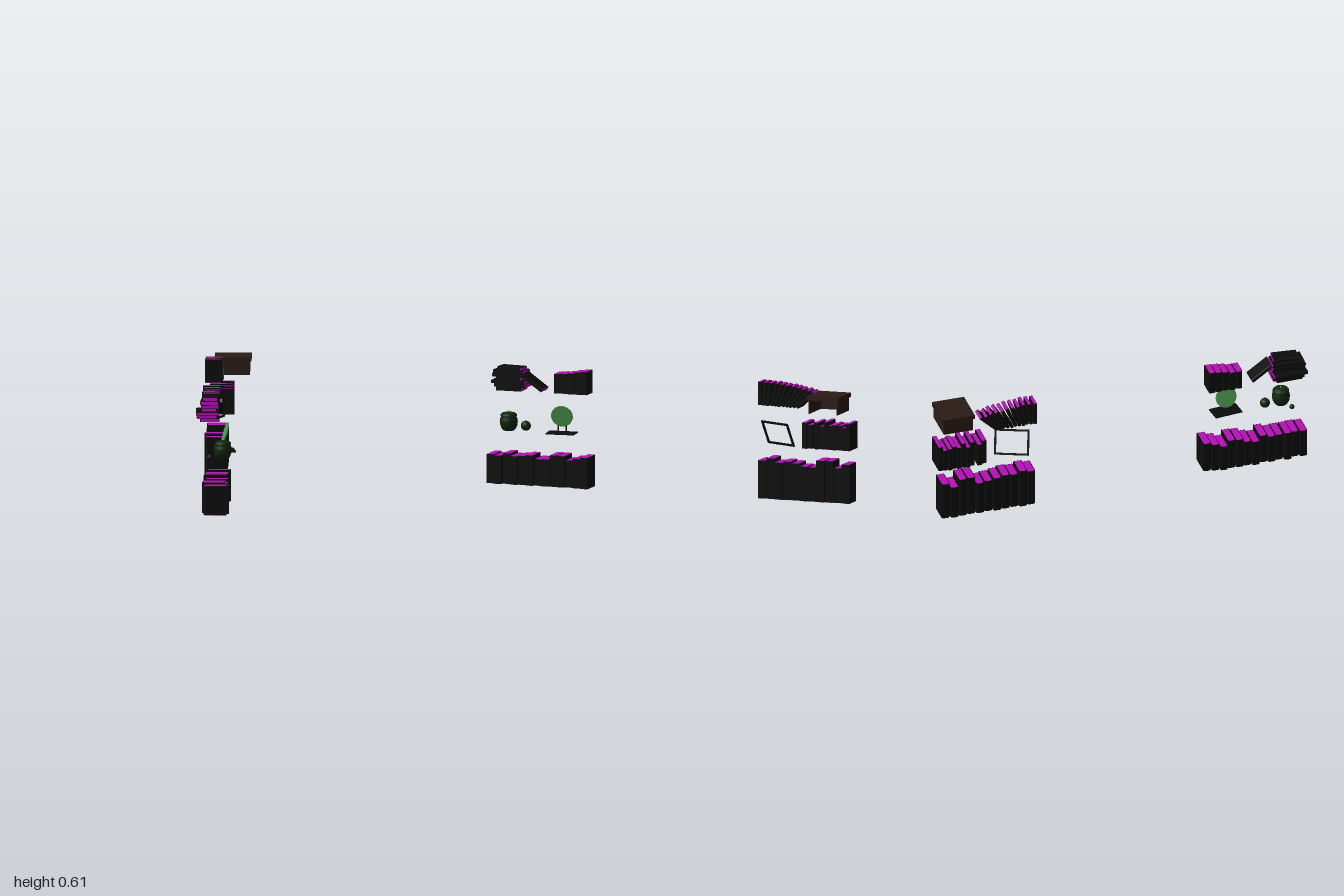
import * as THREE from 'three';

const paint = (color) => new THREE.MeshStandardMaterial({ color });
const black = paint(0x0c0c0c), purple = paint(0xb80fb8), brown = paint(0x2a1b15);
const darkGreen = paint(0x10260f), lightGreen = paint(0x519d52), bright = paint(0x2fc02f);
brown.side = THREE.DoubleSide;

function mesh(name, geometry, material, x = 0, y = 0, z = 0) {
  const m = new THREE.Mesh(geometry, material);
  m.name = name;
  m.position.set(x, y, z);
  return m;
}
const box = (name, w, h, d, mat, x, y, z) => mesh(name, new THREE.BoxGeometry(w, h, d), mat, x, y, z);

function group(name, ...children) {
  const g = new THREE.Group();
  g.name = name;
  if (children.length) g.add(...children);
  return g;
}

// Prism standing on y = 0: depth w along x with a rounded back at -x, thickness t along z
function bookPrism(w, h, t) {
  const r = t * 0.3, s = new THREE.Shape();
  s.moveTo(w / 2, -t / 2);
  s.lineTo(w / 2, t / 2);
  s.lineTo(-w / 2 + r, t / 2);
  s.quadraticCurveTo(-w / 2, t / 2, -w / 2, t / 2 - r);
  s.lineTo(-w / 2, -t / 2 + r);
  s.quadraticCurveTo(-w / 2, -t / 2, -w / 2 + r, -t / 2);
  return new THREE.ExtrudeGeometry(s, { depth: h, bevelEnabled: false, curveSegments: 3 }).rotateX(-Math.PI / 2);
}

// Dark cover with the page block showing at both ends
function book(w, h, t) {
  return group('book',
    mesh('cover', bookPrism(w, h - 0.002, t), black, 0, 0.001, 0),
    mesh('pages', bookPrism(w - 0.006, h, t * 0.84), purple));
}

// Upright books from z0 towards -z; each entry is [height, x shift]
function bookRow(name, z0, y, step, x, w, list) {
  const row = group(name);
  list.forEach(([h, dx], i) => {
    const b = book(w, h, step * 0.95);
    b.position.set(x + dx, y, z0 - step * (i + 0.5));
    row.add(b);
  });
  return row;
}

export function createModel() {
  const model = group('shelfItems');

  // Upright rows
  model.add(
    bookRow('lowerFrontBooks', 1, 0.002, 0.0432, -0.02, 0.12, [
      [0.153, 0], [0.15, 0.01], [0.16, -0.01], [0.15, 0.005], [0.153, -0.005], [0.16, 0.005], [0.14, -0.01],
      [0.143, 0], [0.165, -0.005], [0.165, 0], [0.143, -0.01], [0.155, 0], [0.165, 0.008]]),
    bookRow('lowerBackBooks', -0.48, 0.002, 0.0462, -0.056, 0.108, [
      [0.2, 0], [0.213, -0.005], [0.195, 0.004], [0.202, 0], [0.195, -0.004], [0.182, 0.004], [0.18, -0.002],
      [0.218, 0.004], [0.218, 0], [0.182, -0.005], [0.205, 0.002]]),
    bookRow('upperFrontBooks', 0.645, 0.485, 0.0365, -0.048, 0.09, [
      [0.103, 0], [0.105, -0.004], [0.11, 0.003], [0.117, 0], [0.122, -0.002]]),
    bookRow('middleBackBooksNear', -0.738, 0.283, 0.027, -0.03, 0.12, [[0.137, 0.004], [0.125, -0.008]]),
    bookRow('middleBackBooksFar', -0.803, 0.283, 0.0246, -0.035, 0.12, [
      [0.14, 0.005], [0.12, -0.005], [0.145, 0], [0.126, -0.004], [0.132, 0.003], [0.128, -0.005],
      [0.12, 0], [0.142, 0.004]]));

  // Toppling books, each leaning further than the last
  const leaning = group('leaningBooks');
  for (let i = 0; i < 11; i++) {
    const b = book(0.085, 0.123, 0.017);
    b.position.set(-0.064 + 0.004 * (i % 3 - 1), 0.486, -0.482 - 0.0205 * i);
    b.rotation.x = -THREE.MathUtils.degToRad(i * 4.6);
    leaning.add(b);
  }
  model.add(leaning);

  // Stack of lying books: [x min, x max, z min, z max, yaw]
  const stack = group('bookStack');
  [[-0.1, 0, 0.825, 0.965, 0.03], [-0.112, -0.006, 0.805, 0.975, -0.03], [-0.12, 0, 0.81, 0.99, 0.02],
    [-0.088, -0.01, 0.83, 0.965, -0.04], [-0.096, -0.002, 0.805, 0.985, 0.04], [-0.096, 0, 0.81, 0.98, -0.03],
    [-0.08, 0, 0.82, 0.955, -0.09]].forEach(([x0, x1, z0, z1, yaw], i) => {
    const b = book(x1 - x0, z1 - z0, 0.0172);
    b.rotation.x = Math.PI / 2;
    b.position.z = -(z1 - z0) / 2;
    const turn = group('lyingBook', b);
    turn.rotation.y = yaw;
    turn.position.set((x0 + x1) / 2, 0.4925 + i * 0.018, (z0 + z1) / 2);
    stack.add(turn);
  });
  const prop = book(0.085, 0.135, 0.022);
  prop.name = 'proppedBook';
  prop.position.set(-0.028, 0.498, 0.703);
  prop.rotation.x = THREE.MathUtils.degToRad(55);
  model.add(stack, prop);

  // Storage box, open below and on one side, with an overhanging lid
  const storage = group('storageBox',
    box('backWall', 0.004, 0.085, 0.156, brown, -0.06, 0.524, -0.884),
    box('lidTop', 0.19, 0.004, 0.174, brown, 0.025, 0.572, -0.884));
  for (const s of [-1, 1]) {
    storage.add(
      box('sideWall', 0.174, 0.085, 0.004, brown, 0.026, 0.524, -0.884 + s * 0.077),
      box('lidSideRim', 0.19, 0.02, 0.004, brown, 0.025, 0.563, -0.884 + s * 0.085),
      box('lidEndRim', 0.004, 0.02, 0.174, brown, 0.025 + s * 0.093, 0.563, -0.884));
  }
  model.add(storage);

  // Empty picture frame, turned and tilted back
  const outline = new THREE.Shape([[-0.091, 0], [0.091, 0], [0.091, 0.135], [-0.091, 0.135]]
    .map(([x, y]) => new THREE.Vector2(x, y)));
  outline.holes.push(new THREE.Path([[-0.08, 0.01], [-0.08, 0.125], [0.08, 0.125], [0.08, 0.01]]
    .map(([x, y]) => new THREE.Vector2(x, y))));
  const frame = mesh('pictureFrame',
    new THREE.ExtrudeGeometry(outline, { depth: 0.007, bevelEnabled: false }), black, -0.053, 0.284, -0.595);
  frame.rotation.order = 'YXZ';
  frame.rotation.set(0.42, 1.2, 0);
  model.add(frame);

  // Round mirror on a flat stand
  const disc = mesh('mirrorDisc', new THREE.CylinderGeometry(0.057, 0.057, 0.008, 32).rotateZ(Math.PI / 2),
    lightGreen, 0, 0.09, 0);
  disc.rotation.z = -0.27;
  const mirror = group('mirror', box('base', 0.09, 0.006, 0.15, black, 0.005, 0.003, 0), disc);
  for (const z of [-0.021, 0.021]) mirror.add(box('leg', 0.006, 0.036, 0.005, black, -0.008, 0.022, z));
  mirror.position.set(0.022, 0.283, 0.59);
  mirror.rotation.y = 0.12;
  model.add(mirror);

  // Lidded jar and two small balls
  const profile = [[0, 0], [0.028, 0], [0.036, 0.008], [0.044, 0.026], [0.047, 0.046], [0.045, 0.062],
    [0.039, 0.073], [0.043, 0.075], [0.043, 0.082], [0.036, 0.09], [0.018, 0.096], [0, 0.097]];
  const jar = group('jar',
    mesh('jarBody', new THREE.LatheGeometry(profile.map(([x, y]) => new THREE.Vector2(x, y)), 24), darkGreen),
    mesh('jarKnob', new THREE.SphereGeometry(0.005, 12, 8), bright, 0, 0.098, 0));
  jar.position.set(0.017, 0.282, 0.885);
  model.add(jar,
    mesh('ball', new THREE.SphereGeometry(0.026, 20, 14), darkGreen, 0.006, 0.309, 0.795),
    mesh('smallBall', new THREE.SphereGeometry(0.013, 16, 12), darkGreen, -0.052, 0.296, 0.923));

  return model;
}
